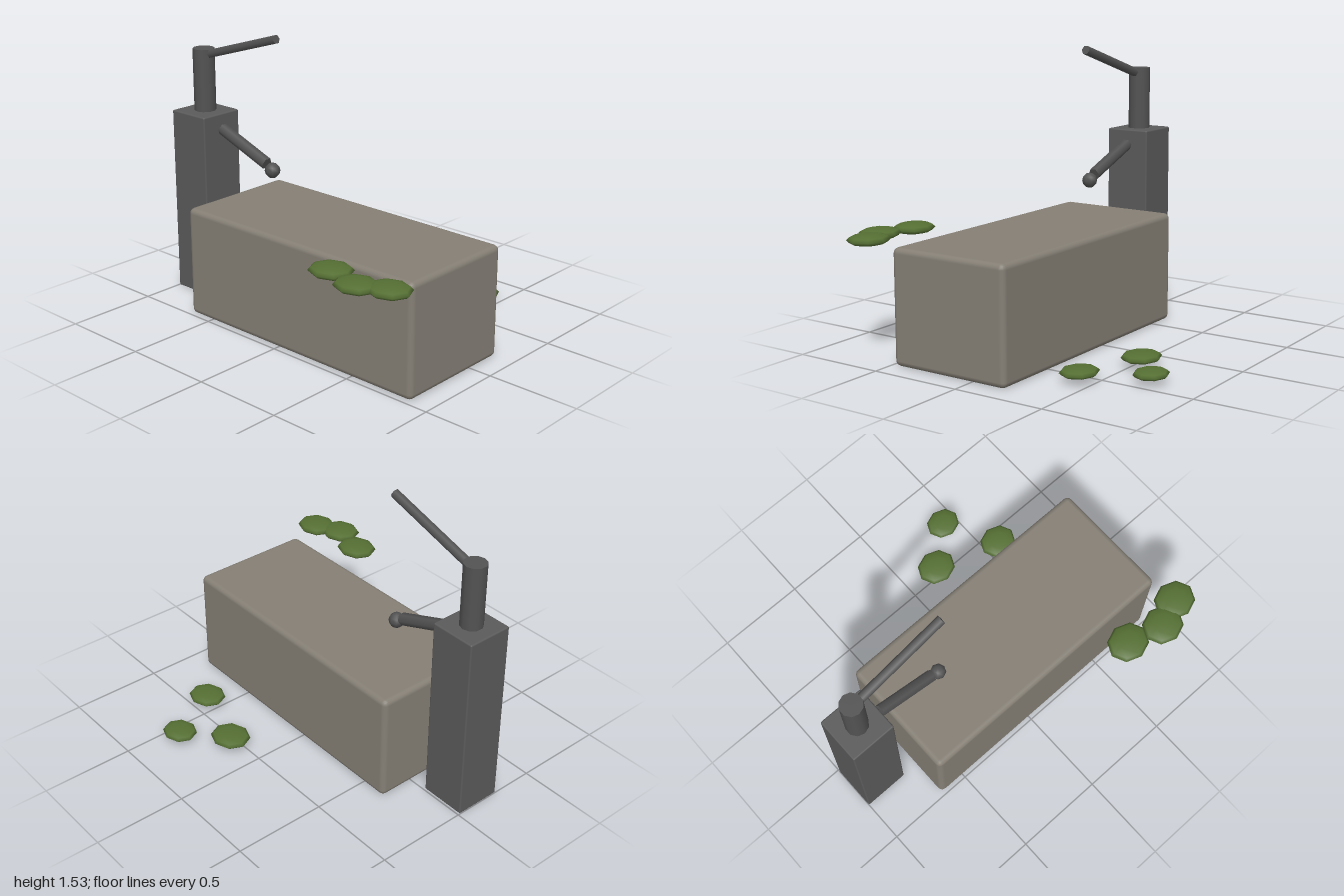
import * as THREE from 'three';
import { RoundedBoxGeometry } from 'three/addons/geometries/RoundedBoxGeometry.js';

const material = (name, color) => {
  const m = new THREE.MeshStandardMaterial({ color });
  m.name = name;
  return m;
};

export function createModel() {
  const stone = material('stone', 0x857f75);
  const iron = material('iron', 0x5c5b5b);
  const darkIron = material('darkIron', 0x545353);
  const moss = material('moss', 0x556f33);

  const model = new THREE.Group();
  model.name = 'waterTrough';
  const add = (name, geometry, mat, x, y, z, parent = model) => {
    const mesh = new THREE.Mesh(geometry, mat);
    mesh.name = name;
    mesh.position.set(x, y, z);
    parent.add(mesh);
    return mesh;
  };

  // Stone block
  add('trough', new RoundedBoxGeometry(1.543, 0.604, 0.685, 2, 0.03), stone, 0.1165, 0.302, 0.1375);

  // Pump: post, pipe, handle, spout and nozzle
  const pump = new THREE.Group();
  pump.name = 'pump';
  model.add(pump);
  const pz = 0.1375;
  add('post', new RoundedBoxGeometry(0.255, 1.035, 0.255, 2, 0.008), iron, -0.8725, 0.5175, pz, pump);
  add('pipe', new THREE.CylinderGeometry(0.06, 0.06, 0.36, 10), darkIron, -0.8725, 1.2, pz, pump);

  // Six-sided rod between two points in the pump's plane
  const rod = (name, radius, x0, y0, x1, y1) => {
    const length = Math.hypot(x1 - x0, y1 - y0);
    const geometry = new THREE.CylinderGeometry(radius, radius, length, 6);
    const mesh = add(name, geometry, darkIron, (x0 + x1) / 2, (y0 + y1) / 2, pz, pump);
    mesh.rotation.z = Math.atan2(y1 - y0, x1 - x0) - Math.PI / 2;
  };
  rod('handle', 0.025, -0.83, 1.353, -0.315, 1.51);
  rod('spout', 0.033, -0.737, 0.952, -0.4, 0.825);
  add('nozzle', new THREE.SphereGeometry(0.042, 8, 6), darkIron, -0.357, 0.797, pz, pump);

  // Flat moss clumps: x, y, z, radius, half height
  const clumps = [
    [0.53, 0.625, 0.64, 0.118, 0.03],
    [0.735, 0.625, 0.692, 0.118, 0.03],
    [0.88, 0.625, 0.633, 0.118, 0.03],
    [0.198, 0.05, -0.538, 0.115, 0.027],
    [0.41, 0.05, -0.721, 0.1, 0.025],
    [0.575, 0.05, -0.42, 0.109, 0.026],
  ];
  const blob = new THREE.SphereGeometry(1, 8, 6);
  for (const [x, y, z, r, h] of clumps) {
    add('mossClump', blob, moss, x, y, z).scale.set(r, h, r * 0.88);
  }

  return model;
}
